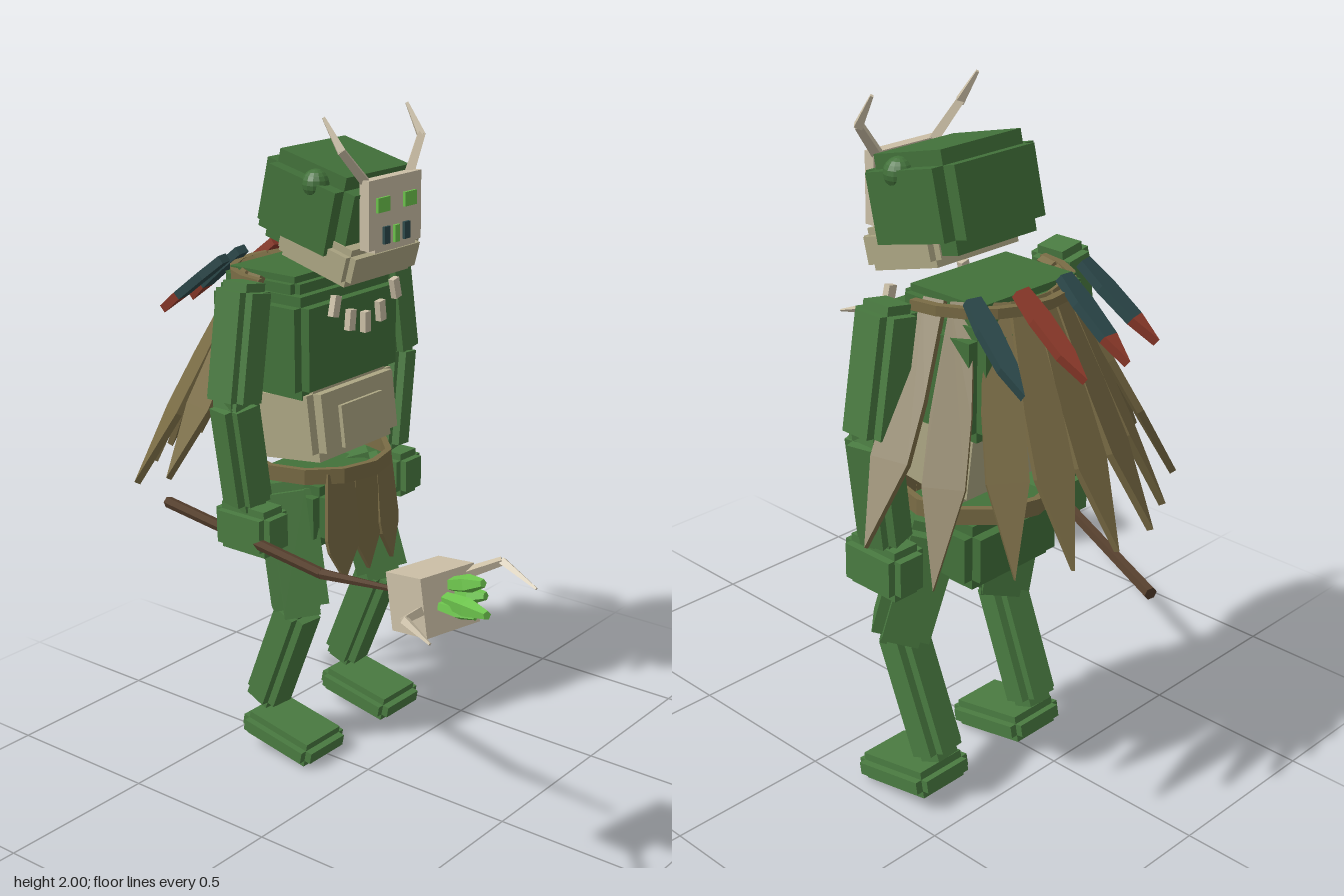
import * as THREE from 'three';

const mat = (name, color) => {
  const m = new THREE.MeshStandardMaterial({ color, flatShading: true });
  m.name = name;
  return m;
};
const V = (x, y, z) => new THREE.Vector3(x, y, z);
const CX = 0.167, CZ = -0.33; // body axis

export function createModel() {
  const root = new THREE.Group();
  root.name = 'shaman';
  const M = {
    skin: mat('skinGreen', 0x42713a), limb: mat('limbGreen', 0x4a7b41),
    belly: mat('bellyTan', 0xaca683), bone: mat('bone', 0xcbbfa6),
    feather: mat('featherOlive', 0x7a6c45), wood: mat('wood', 0x543e2c),
    teal: mat('teal', 0x2c494b), red: mat('red', 0x8f3b2b), glow: mat('brightGreen', 0x6cc34c),
  };
  const group = (name, parent = root) => {
    const g = new THREE.Group();
    g.name = name;
    parent.add(g);
    return g;
  };
  const mesh = (name, geo, m, parent = root) => {
    const o = new THREE.Mesh(geo, m);
    o.name = name;
    parent.add(o);
    return o;
  };
  const box = (name, m, w, h, d, x, y, z, parent = root) => {
    const o = mesh(name, new THREE.BoxGeometry(w, h, d), m, parent);
    o.position.set(x, y, z);
    return o;
  };
  // Three crossing boxes: a block with stepped edges
  const block = (name, m, w, h, d, inset, x, y, z, parent = root) => {
    const g = group(name, parent), i = inset * 2;
    box(name + 'Wide', m, w, h - i, d - i, 0, 0, 0, g);
    box(name + 'Tall', m, w - i, h, d - i, 0, 0, 0, g);
    box(name + 'Deep', m, w - i, h - i, d, 0, 0, 0, g);
    g.position.set(x, y, z);
    return g;
  };
  const between = (o, a, b) => {
    o.position.copy(a).add(b).multiplyScalar(0.5);
    o.quaternion.setFromUnitVectors(V(0, 1, 0), b.clone().sub(a).normalize());
    return o;
  };
  const limb = (name, a, b, w, d, inset = 0.025) =>
    between(block(name, M.limb, w, a.distanceTo(b), d, inset, 0, 0, 0), a, b);
  const bar = (name, m, a, b, ra, rb, sides = 4, parent = root) =>
    between(mesh(name, new THREE.CylinderGeometry(rb, ra, a.distanceTo(b), sides), m, parent), a, b);

  // Flat plate from base to tip; profile rows are [half width, fraction of length]
  const plate = (name, m, base, tip, profile, thick, outward) => {
    const len = base.distanceTo(tip);
    const pts = [...profile.map(([w, t]) => new THREE.Vector2(w, -t * len)),
      ...[...profile].reverse().filter(([w]) => w > 0).map(([w, t]) => new THREE.Vector2(-w, -t * len))];
    const geo = new THREE.ExtrudeGeometry(new THREE.Shape(pts), { depth: thick, bevelEnabled: false });
    geo.translate(0, 0, -thick / 2);
    const y = base.clone().sub(tip).normalize();
    const x = y.clone().cross(outward).normalize();
    const o = mesh(name, geo, m);
    o.quaternion.setFromRotationMatrix(new THREE.Matrix4().makeBasis(x, y, x.clone().cross(y)));
    o.position.copy(base);
    return o;
  };
  const band = (name, m, r, t, y0, y1, start, sweep, seg) => {
    const p = [[r - t, y0], [r, y0], [r, y1], [r - t, y1], [r - t, y0]].map(q => new THREE.Vector2(...q));
    mesh(name, new THREE.LatheGeometry(p, seg, start, sweep), m).position.set(CX, 0, CZ);
  };

  // Head and jaw, pitched forward
  block('head', M.skin, 0.375, 0.27, 0.33, 0.04, CX, 1.725, -0.245).rotation.x = 0.24;
  block('jaw', M.belly, 0.345, 0.115, 0.28, 0.02, CX, 1.6, -0.2).rotation.x = 0.27;

  // Bone mask with horns, painted eyes and fangs
  box('mask', M.bone, 0.245, 0.2, 0.034, CX, 1.72, -0.048);
  box('maskChin', M.bone, 0.19, 0.03, 0.034, CX, 1.625, -0.048);
  box('maskNose', M.glow, 0.022, 0.05, 0.009, CX, 1.655, -0.027);

  // Torso
  block('chest', M.skin, 0.475, 0.31, 0.37, 0.03, CX, 1.32, -0.37);
  block('shoulderYoke', M.skin, 0.4, 0.08, 0.29, 0.02, CX, 1.485, -0.385);
  block('belly', M.belly, 0.405, 0.24, 0.31, 0.03, CX, 1.075, -0.315).rotation.x = -0.12;
  box('bellyPlate', M.belly, 0.2, 0.13, 0.02, CX, 1.07, -0.155).rotation.x = -0.12;
  block('pelvis', M.skin, 0.36, 0.19, 0.32, 0.03, CX, 0.785, CZ);
  band('belt', M.feather, 0.232, 0.02, 0.9, 0.947, 0, Math.PI * 2, 12);
  band('collar', M.feather, 0.258, 0.022, 1.492, 1.52, Math.PI - 1.55, 3.1, 10);

  for (const s of [1, -1]) {
    const side = s > 0 ? 'left' : 'right';
    const P = (x, y, z) => V(CX + s * x, y, z);
    // Face details
    const eye = mesh(side + 'Eye', new THREE.SphereGeometry(0.043, 14, 10), M.skin);
    eye.position.copy(P(0.155, 1.8, -0.195));
    box(side + 'MaskEye', M.glow, 0.055, 0.042, 0.009, CX + s * 0.063, 1.747, -0.027);
    box(side + 'Fang', M.teal, 0.026, 0.05, 0.009, CX + s * 0.047, 1.657, -0.027);
    bar(side + 'HornBase', M.bone, P(0.085, 1.79, -0.055), P(0.188, 1.91, -0.08), 0.019, 0.015);
    bar(side + 'HornTip', M.bone, P(0.186, 1.905, -0.078), P(0.192, 1.995, -0.137), 0.016, 0.006);
    // Arms
    limb(side + 'UpperArm', P(0.325, 1.53, -0.325), P(0.385, 1.165, -0.325), 0.13, 0.14);
    limb(side + 'Forearm', P(0.385, 1.2, -0.325), P(0.335, 0.85, -0.32), 0.125, 0.125);
    block(side + 'Hand', M.limb, 0.125, 0.145, 0.21, 0.022, CX + s * 0.333, 0.787, -0.31);
    // Legs
    limb(side + 'Thigh', P(0.165, 0.88, -0.33), P(0.205, 0.475, -0.23), 0.17, 0.165, 0.03);
    limb(side + 'Shin', P(0.202, 0.51, -0.235), P(0.197, 0.14, -0.385), 0.13, 0.12);
    block(side + 'Foot', M.limb, 0.205, 0.08, 0.28, 0.022, CX + s * 0.196, 0.06, -0.278).rotation.x = 0.19;
  }

  // Tooth necklace
  for (let i = -2; i <= 2; i++) {
    const y = [1.375, 1.395, 1.45][Math.abs(i)];
    box('necklaceTooth', M.bone, 0.028, 0.062, 0.02, CX + i * 0.072, y, -0.14).rotation.z = i * 0.12;
  }

  // Loincloth feathers
  for (const i of [-1, 0, 1]) {
    plate('loinFeather', M.feather, V(CX + i * 0.105, 0.93, -0.147 - Math.abs(i) * 0.012),
      V(CX + i * 0.118, 0.587, -0.13), [[0.05, 0], [0.063, 0.6], [0.055, 0.72], [0, 1]], 0.014, V(i * 0.2, 0, 1));
  }

  // Feather cape fanned round the back
  const fan = [[0, 0.5, 0.89], [0.31, 0.51, 0.89], [0.62, 0.51, 0.89], [0.995, 0.57, 0.89], [1.34, 0.545, 0.96]];
  for (const s of [1, -1]) fan.forEach(([a, r, y], i) => {
    if (s < 0 && i === 0) return;
    const dir = V(s * Math.sin(a), 0, -Math.cos(a));
    const at = (rad, h) => dir.clone().multiplyScalar(rad).add(V(CX, h, CZ));
    plate('capeFeather', M.feather, at(0.215, 1.52), at(r, y),
      [[0.03, 0], [0.053, 0.4], [0.055, 0.65], [0, 1]], 0.02, dir);
  });

  // Short coloured feathers above the cape
  [[-0.04, -0.085, -0.51, M.teal, M.red], [0.083, 0.083, -0.55, M.teal, M.red],
    [0.247, 0.247, -0.55, M.red, M.red], [0.38, 0.43, -0.51, M.teal, M.teal]].forEach(([x0, x1, z, m, tipM]) => {
    const a = V(x0, 1.55, z), b = V(x1, 1.37, z - 0.22), n = V(x0 - CX, 0.8, -1);
    plate('plume', m, a, b, [[0.022, 0], [0.03, 0.3], [0.025, 0.7]], 0.026, n);
    plate('plumeTip', tipM, a, b, [[0.025, 0.7], [0, 1]], 0.026, n);
  });

  // Staff held in the right hand
  const bend = V(-0.345, 0.8, 0.11);
  bar('staffShaft', M.wood, V(0, 0.695, -0.82), bend, 0.019, 0.016, 6);
  bar('staffTip', M.wood, bend, V(-0.437, 0.875, 0.475), 0.016, 0.006, 6);

  // Staff head: bone block, bent claws and crystals
  const skull = box('staffSkull', M.bone, 0.175, 0.155, 0.14, -0.475, 0.905, 0.58);
  skull.lookAt(-0.475 - 0.09, 0.905 + 0.07, 0.58 + 0.36);
  [[V(-0.54, 0.9, 0.605), V(-0.67, 0.925, 0.637), V(-0.7, 0.9, 0.735)],
    [V(-0.44, 0.955, 0.615), V(-0.372, 1.005, 0.72), V(-0.39, 0.965, 0.835)]].forEach(([a, b, c]) => {
    bar('clawBase', M.bone, a, b, 0.017, 0.012);
    bar('clawTip', M.bone, b, c, 0.013, 0.004);
  });
  [[-0.495, 0.92, -0.57, 0.95, 0.81, 0.026], [-0.475, 0.95, -0.5, 0.995, 0.75, 0.025],
    [-0.46, 0.92, -0.465, 0.945, 0.735, 0.024], [-0.52, 0.91, -0.53, 0.915, 0.75, 0.02]].forEach(([x, y, x1, y1, z1, r]) => {
    const a = V(x, y, 0.62), b = V(x1, y1, z1), mid = a.clone().lerp(b, 0.6);
    bar('crystal', M.glow, a, mid, r * 0.7, r, 5);
    bar('crystalTip', M.glow, mid, b, r, r * 0.45, 5);
  });
  return root;
}
